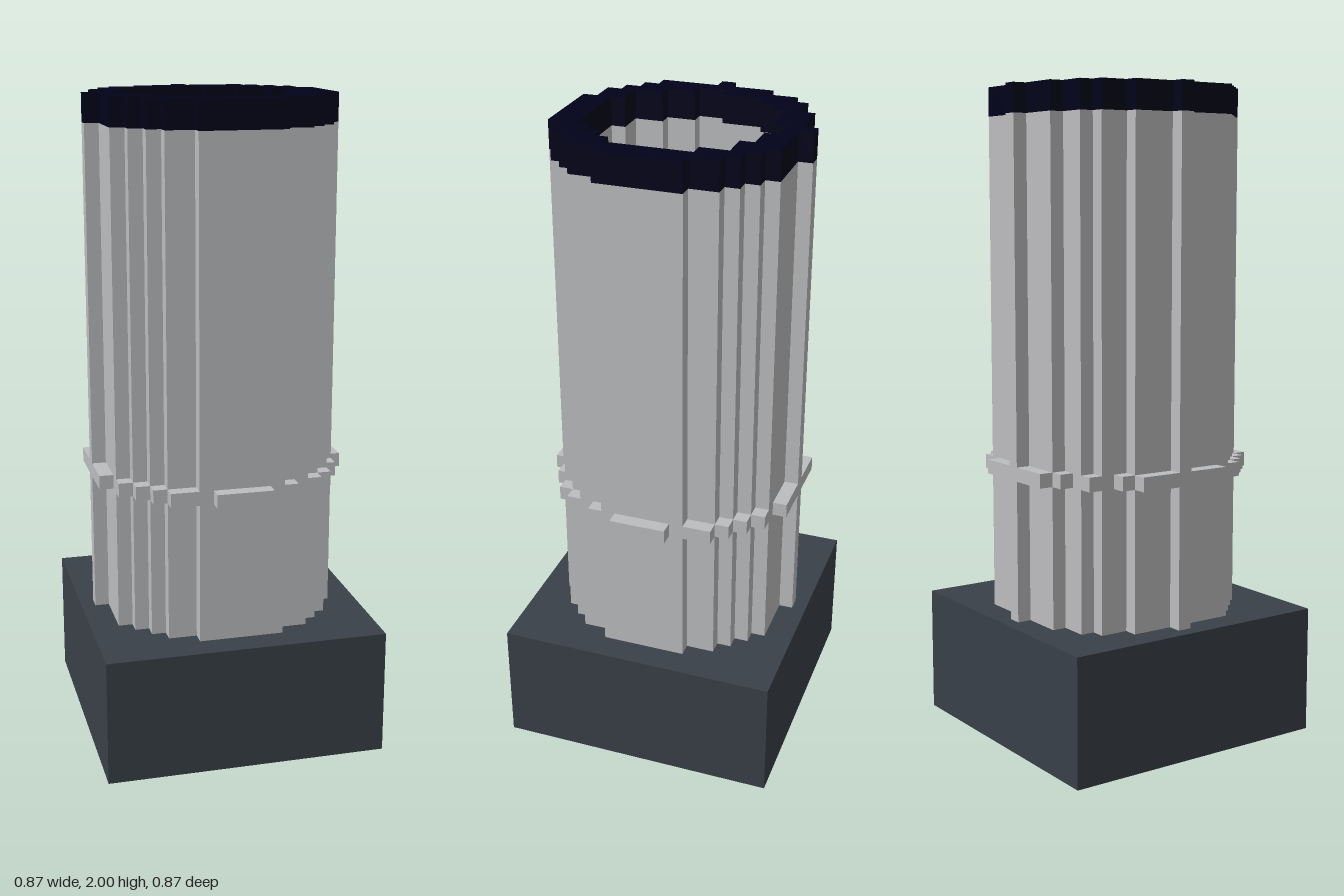
import * as THREE from 'three';

// One block of the grid; the model is 46 blocks tall.
const U = 2 / 46;

// Each outline lists [left, right] block edges for rows running back to front.
const OUTER = [[-1, 0], [-4, 4], [-6, 5], [-7, 6], [-7, 7], [-8, 7], [-8, 8], [-8, 8], [-9, 8],
  [-8, 8], [-8, 8], [-8, 8], [-8, 7], [-7, 7], [-6, 6], [-5, 5], [-3, 3]];
const HOLE = [[-1, 1], [-4, 3], [-5, 5], [-6, 5], [-6, 6], [-6, 6], [-7, 6],
  [-7, 6], [-6, 6], [-6, 6], [-5, 5], [-5, 4], [-3, 3]];
const BAND = [[-4, 3], [-5, 5], [-7, 6], [-7, 7], [-8, 8], [-9, 8], [-9, 8], [-9, 9], [-9, 9],
  [-9, 9], [-9, 9], [-9, 8], [-8, 8], [-8, 7], [-7, 7], [-6, 6], [-5, 4], [-2, 2]];

// Walk the stepped outline anticlockwise: down the left edge, back up the right.
function outline(rows, firstRow) {
  const side = (k) => {
    const pts = [];
    rows.forEach((row, i) => {
      if (i === 0 || row[k] !== rows[i - 1][k]) {
        if (i > 0) pts.push(new THREE.Vector2(rows[i - 1][k] * U, -(firstRow + i) * U));
        pts.push(new THREE.Vector2(row[k] * U, -(firstRow + i) * U));
      }
    });
    pts.push(new THREE.Vector2(rows[rows.length - 1][k] * U, -(firstRow + rows.length) * U));
    return pts;
  };
  return [...side(0), ...side(1).reverse()];
}

// Raise an outline between two block heights.
function prism(name, rows, bottom, top, material, hole) {
  const shape = new THREE.Shape(outline(rows, -9));
  if (hole) shape.holes.push(new THREE.Path(outline(hole, -7)));
  const geometry = new THREE.ExtrudeGeometry(shape, { depth: (top - bottom) * U, bevelEnabled: false });
  geometry.rotateX(-Math.PI / 2);
  geometry.translate(0, bottom * U, 0);
  const mesh = new THREE.Mesh(geometry, material);
  mesh.name = name;
  return mesh;
}

export function createModel() {
  const slate = new THREE.MeshStandardMaterial({ name: 'slate', color: 0x394048 });
  const grey = new THREE.MeshStandardMaterial({ name: 'light grey', color: 0xbcbdbf });
  const navy = new THREE.MeshStandardMaterial({ name: 'dark navy', color: 0x01011a });

  const model = new THREE.Group();
  model.name = 'chimney';

  // Square plinth
  const base = new THREE.Mesh(new THREE.BoxGeometry(20 * U, 9 * U, 20 * U), slate);
  base.name = 'base';
  base.position.y = 4.5 * U;
  model.add(base);

  // Hollow stack, the disc that closes it and stands out as a band, and the dark rim
  model.add(prism('shaft', OUTER, 9, 44, grey, HOLE));
  model.add(prism('band', BAND, 19, 20, grey));
  model.add(prism('rim', OUTER, 44, 46, navy, HOLE));
  return model;
}
